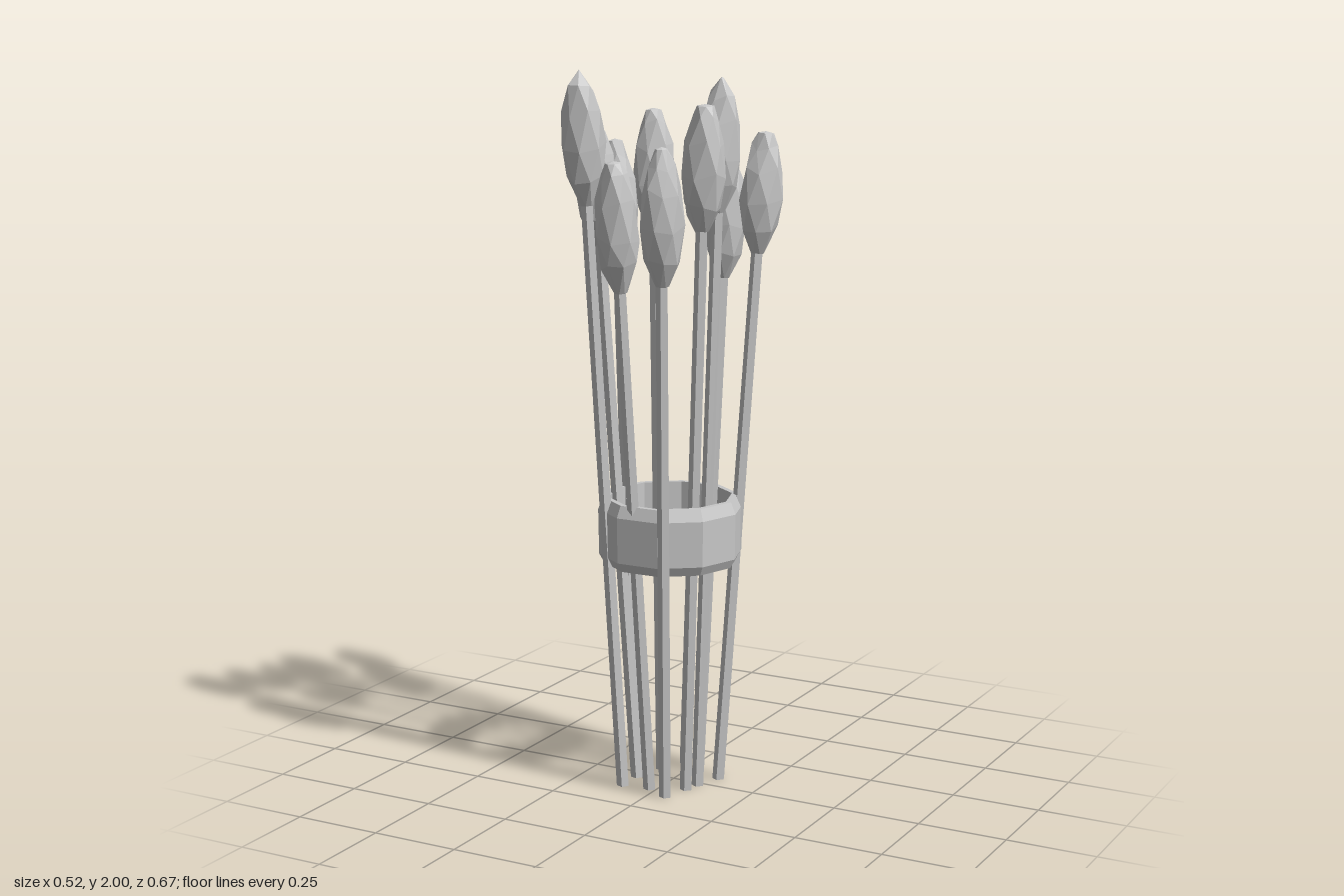
import * as THREE from 'three';

const UP = new THREE.Vector3(0, 1, 0);
const BUD_SIDES = 7;

// Each flower: stem foot x, z; bud centre x, z; bud bottom y; bud top y; tip radius
const FLOWERS = [
  [-0.03, -0.13, -0.052, -0.278, 1.52, 1.84, 0.012],
  [0.04, -0.075, 0.072, -0.17, 1.42, 1.77, 0.022],
  [0.112, -0.062, 0.203, -0.126, 1.50, 1.83, 0.022],
  [0.085, 0.013, 0.143, 0.006, 1.62, 1.98, 0.006],
  [0.072, 0.06, 0.148, 0.108, 1.58, 1.915, 0.024],
  [0.049, 0.14, 0.113, 0.275, 1.45, 1.815, 0.016],
  [-0.02, 0.105, -0.035, 0.25, 1.42, 1.77, 0.022],
  [-0.10, 0.115, -0.169, 0.193, 1.64, 2.0, 0.004],
  [-0.10, 0.034, -0.205, 0.065, 1.52, 1.86, 0.022],
  [-0.142, -0.035, -0.203, -0.047, 1.44, 1.80, 0.02],
  [-0.068, -0.057, -0.137, -0.14, 1.53, 1.88, 0.022],
];

function seeded(seed) {
  const s = Math.sin(seed * 127.1 + 11.7) * 43758.5453;
  return s - Math.floor(s);
}

// Faceted bud along +y: each row turns half a side, giving even triangles
function budGeometry(length, tip, seed) {
  const rows = [[0, 0], [0.018, 0], [0.049, 0.2], [0.06, 0.43], [0.053, 0.69], [0.036, 0.87], [tip, 0.985], [0, 1]];
  const geo = new THREE.LatheGeometry(rows.map(([r, t]) => new THREE.Vector2(r, t * length)), BUD_SIDES);
  const pos = geo.attributes.position;
  for (let i = 0; i < pos.count; i++) {
    const side = Math.floor(i / rows.length) % BUD_SIDES;
    const row = i % rows.length;
    const [r, t] = rows[row];
    const noise = seeded(seed * 61 + side * 9 + row);
    const angle = ((side + row / 2 + (noise - 0.5) * 0.2) / BUD_SIDES) * Math.PI * 2 + seed;
    const radius = r * (0.97 + 0.07 * noise);
    const lift = row > 1 && row < 6 ? (noise - 0.5) * 0.03 : 0;
    pos.setXYZ(i, Math.sin(angle) * radius, t * length + lift, Math.cos(angle) * radius);
  }
  geo.computeVertexNormals();
  return geo;
}

export function createModel() {
  const grey = new THREE.MeshStandardMaterial({ color: 0xc8c8c8, flatShading: true });
  grey.name = 'grey';
  const model = new THREE.Group();
  model.name = 'flowerBundle';

  FLOWERS.forEach(([fx, fz, bx, bz, bottom, top, tip], i) => {
    const flower = new THREE.Group();
    flower.name = `flower${i + 1}`;
    const foot = new THREE.Vector3(fx, 0, fz);
    const along = new THREE.Vector3(bx, (bottom + top) / 2, bz).sub(foot).normalize();
    const lean = new THREE.Quaternion().setFromUnitVectors(UP, along);

    // Stem: leaning five-sided prism, its foot cut level with the ground
    const stemLength = (bottom + 0.03) / along.y;
    const stemGeo = new THREE.CylinderGeometry(0.017, 0.018, stemLength, 5, 1, false, i * 1.3);
    stemGeo.translate(0, stemLength / 2, 0);
    stemGeo.applyQuaternion(lean);
    const p = stemGeo.attributes.position;
    for (let k = 0; k < p.count; k++) if (p.getY(k) < 0.1) p.setY(k, 0);
    const stem = new THREE.Mesh(stemGeo, grey);
    stem.name = 'stem';
    stem.position.copy(foot);

    // Bud
    const bud = new THREE.Mesh(budGeometry((top - bottom) / along.y, tip, i + 1), grey);
    bud.name = 'bud';
    bud.position.copy(foot).addScaledVector(along, bottom / along.y);
    bud.quaternion.copy(lean);

    flower.add(stem, bud);
    model.add(flower);
  });

  // Ten-sided band with bevelled rims
  const profile = [[0.172, 0.642], [0.186, 0.642], [0.2, 0.668], [0.202, 0.795], [0.188, 0.828], [0.172, 0.828], [0.172, 0.642]];
  const band = new THREE.Mesh(
    new THREE.LatheGeometry(profile.map(([r, y]) => new THREE.Vector2(r, y)), 10, Math.PI / 10),
    grey
  );
  band.name = 'band';
  band.position.set(-0.006, 0, 0.007);
  model.add(band);

  return model;
}
